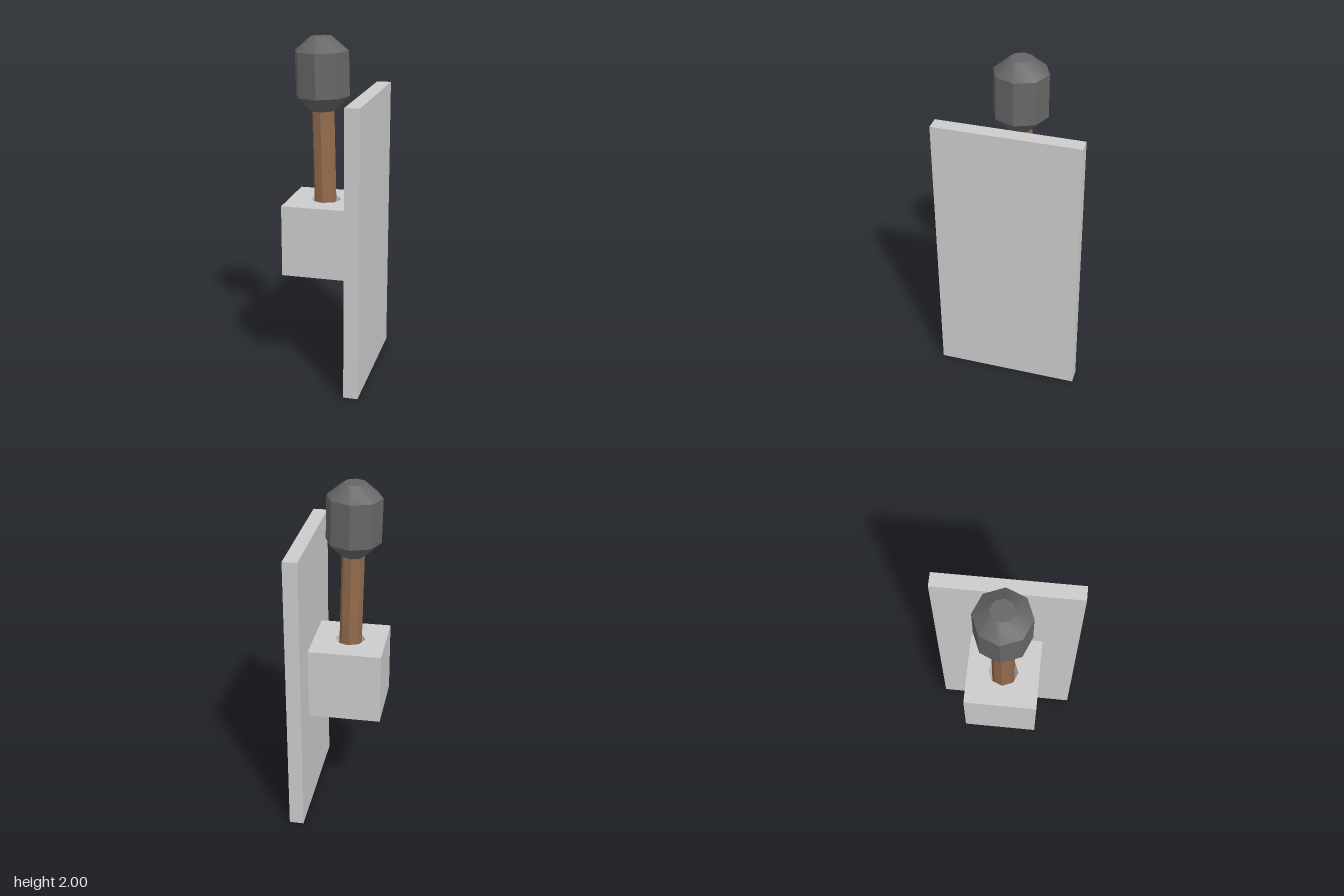
import * as THREE from 'three';
import { toCreasedNormals } from 'three/addons/utils/BufferGeometryUtils.js';

const grey = new THREE.MeshStandardMaterial({ color: 0xcccccc });
const wood = new THREE.MeshStandardMaterial({ color: 0x946b4c });
const dark = new THREE.MeshStandardMaterial({ color: 0x666666 });
const SIDES = 8;

function add(parent, name, geometry, material, x = 0, y = 0, z = 0) {
  const mesh = new THREE.Mesh(geometry, material);
  mesh.name = name;
  mesh.position.set(x, y, z);
  parent.add(mesh);
  return mesh;
}

// Eight-sided turned part: crisp sides, softly shaded caps
function turned(profile) {
  const points = profile.map(([r, y]) => new THREE.Vector2(r, y));
  return toCreasedNormals(new THREE.LatheGeometry(points, SIDES), THREE.MathUtils.degToRad(42));
}

export function createModel() {
  const model = new THREE.Group();
  model.name = 'wallTorch';

  // Upright plate that sits against the wall
  add(model, 'wallPlate', new THREE.BoxGeometry(0.084, 1.685, 0.842), grey, 0.21, 0.8425, 0);

  // Holder block with an eight-sided socket open at the top
  const holder = new THREE.Group();
  holder.name = 'holder';
  holder.position.set(-0.042, 0.632, 0);
  model.add(holder);
  const size = 0.421, half = size / 2, floor = 0.1;
  const outline = new THREE.Shape([[-half, -half], [half, -half], [half, half], [-half, half]]
    .map(([x, y]) => new THREE.Vector2(x, y)));
  const socket = [];
  for (let i = 0; i < SIDES; i++) {
    const a = -i * Math.PI * 2 / SIDES;
    socket.push(new THREE.Vector2(0.088 * Math.cos(a), 0.088 * Math.sin(a)));
  }
  outline.holes.push(new THREE.Path(socket));
  const walls = new THREE.ExtrudeGeometry(outline, { depth: size - floor, bevelEnabled: false });
  walls.rotateX(-Math.PI / 2);
  add(holder, 'holderSocket', walls, grey, 0, floor, 0);
  add(holder, 'holderBase', new THREE.BoxGeometry(size, floor, size), grey, 0, floor / 2, 0);

  // Torch, leaning slightly away from the wall
  const torch = new THREE.Group();
  torch.name = 'torch';
  torch.position.set(-0.038, 0.74, 0);
  torch.rotation.z = 0.023;
  model.add(torch);
  add(torch, 'handle', turned([[0, 0], [0.066, 0], [0.066, 0.86], [0, 0.86]]), wood);
  add(torch, 'torchHead', turned([
    [0, 0.84], [0.07, 0.84], [0.158, 0.925], [0.158, 1.18], [0.065, 1.259], [0, 1.259],
  ]), dark);

  return model;
}
